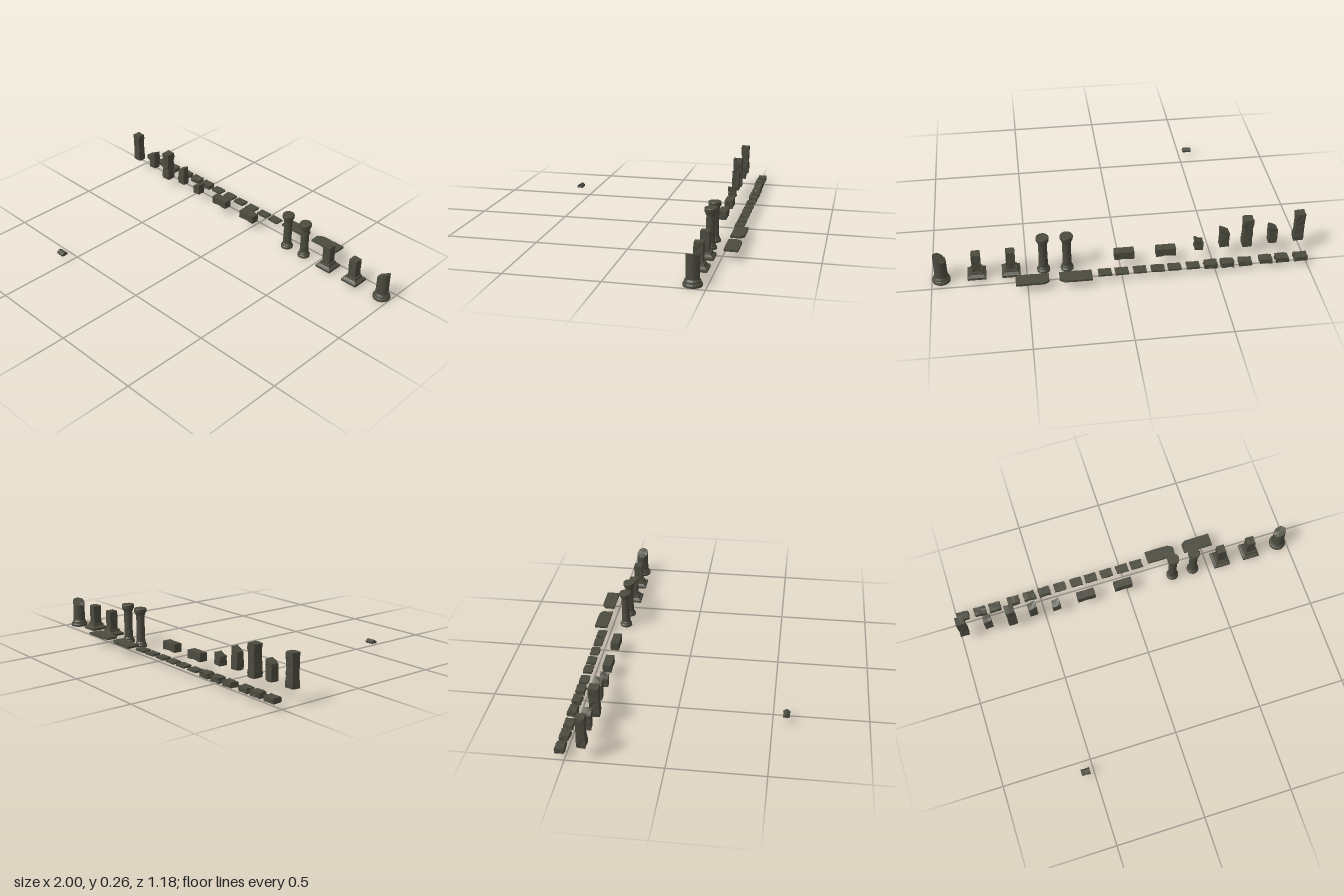
import * as THREE from 'three';

const stone = new THREE.MeshStandardMaterial({ color: 0x4c4b3f, flatShading: true });
stone.name = 'weathered stone';

// Small seeded generator for the chipped edges
function seeded(seed) {
  let s = seed * 7919 + 17;
  return () => ((s = (s * 16807) % 2147483647) / 2147483647);
}

function add(group, name, geometry, x = 0, y = 0, z = 0) {
  const mesh = new THREE.Mesh(geometry, stone);
  mesh.name = name;
  mesh.position.set(x, y, z);
  group.add(mesh);
  return mesh;
}

// Rough stone block given by its extents; outer vertices are worn inwards
function block(group, name, [x0, x1], [y0, y1], [z0, z1], seed, wear = 0.003, seg = [3, 2, 3], shape = null) {
  const w = x1 - x0, h = y1 - y0, d = z1 - z0;
  const g = new THREE.BoxGeometry(w, h, d, ...seg);
  const p = g.attributes.position, moved = new Map(), rnd = seeded(seed);
  const v = new THREE.Vector3();
  for (let i = 0; i < p.count; i++) {
    v.fromBufferAttribute(p, i);
    const key = [v.x, v.y, v.z].map((n) => Math.round(n * 1e4)).join();
    if (!moved.has(key)) {
      const u = v.x / w * 2, t = v.y / h * 2, s = v.z / d * 2;
      const m = v.clone();
      m.x -= Math.sign(u) * rnd() * wear;
      m.y -= Math.sign(t) * rnd() * Math.min(wear, h * 0.12);
      m.z -= Math.sign(s) * rnd() * wear;
      if (shape) shape(m, u, t, s);
      moved.set(key, m);
    }
    const m = moved.get(key);
    p.setXYZ(i, m.x, m.y, m.z);
  }
  g.computeVertexNormals();
  return add(group, name, g, (x0 + x1) / 2, (y0 + y1) / 2, (z0 + z1) / 2);
}

// Turned profile; four sides give a square plan with the radius as half width
function turned(points, sides) {
  const k = sides === 4 ? Math.SQRT2 : 1;
  const g = new THREE.LatheGeometry(points.map(([r, y]) => new THREE.Vector2(r * k, y)), sides);
  if (sides === 4) g.rotateY(Math.PI / 4);
  return g;
}

export function createModel() {
  const model = new THREE.Group();
  model.name = 'ruinStones';

  // Standing square pillars, some with sloping broken tops
  const pillars = [
    [-1.0, -0.945, 0.078, 0.258, -0.437, -0.387, 0],
    [-0.853, -0.804, 0.078, 0.19, -0.437, -0.39, 0.02],
    [-0.72, -0.665, 0.06, 0.238, -0.433, -0.376, 0],
    [-0.59, -0.538, 0.072, 0.195, -0.434, -0.388, 0.025],
    [-0.452, -0.403, 0.062, 0.133, -0.434, -0.386, 0.022],
  ];
  pillars.forEach(([x0, x1, y0, y1, z0, z1, slope], i) => {
    block(model, slope ? 'brokenPillar' : 'pillar', [x0, x1], [y0, y1], [z0, z1], i + 1, 0.004,
      [2, slope ? 4 : 7, 2], (m, u, t) => {
        if (slope && t > 0.9) m.y -= slope * (1 - u) / 2;
        if (!slope && Math.abs(t) < 0.5) { m.x *= 0.93; m.z *= 0.93; }
      });
  });

  // Two long blocks with a shallow notch underneath
  for (const [x0, x1, seed] of [[-0.3, -0.192, 11], [-0.075, 0.033, 12]]) {
    block(model, 'longBlock', [x0, x1], [0.052, 0.1], [-0.446, -0.398], seed, 0.0015, [5, 2, 2],
      (m, u, t) => { if (t < -0.9 && Math.abs(u) < 0.3) m.y += 0.004; });
  }

  // Thick rubble stones
  [-0.96, -0.859, -0.77, -0.656, -0.56, -0.47].forEach((x, i) => {
    const z = i < 3 ? -0.524 : -0.53;
    block(model, 'rubbleStone', [x - 0.037, x + 0.037], [0.031, 0.063], [z - 0.027, z + 0.027], 20 + i, 0.006);
  });

  // Thin paving stones
  [-0.375, -0.275, -0.187, -0.091, 0.005, 0.094].forEach((x, i) => {
    block(model, 'pavingStone', [x - 0.037, x + 0.037], [0.042, 0.055], [-0.558, -0.504], 30 + i, 0.004, [3, 1, 3]);
  });

  // Two large slabs with a clipped corner
  for (const [x0, x1, side] of [[0.162, 0.335, 1], [0.387, 0.563, -1]]) {
    block(model, 'largeSlab', [x0, x1], [0.047, 0.061], [-0.588, -0.512], 40 + side, 0.002, [6, 1, 4],
      (m, u, t, s) => { if (u * side > 0.9 && s < -0.9) { m.x -= side * 0.012; m.z += 0.008; } });
  }

  // Loose stone lying apart, with a worn top
  block(model, 'looseStone', [-0.57, -0.52], [0.035, 0.057], [0.55, 0.588], 50, 0.003, [2, 2, 3],
    (m, u, t, s) => { if (t > 0.9 && Math.abs(s) > 0.9) { m.y -= 0.007; m.z *= 0.9; } });

  // Whole round columns with base and capital
  const columnProfile = [
    [0, 0.008], [0.035, 0.008], [0.035, 0.02], [0.03, 0.025], [0.029, 0.032], [0.025, 0.038],
    [0.0235, 0.11], [0.024, 0.188], [0.028, 0.194], [0.028, 0.2], [0.034, 0.208],
    [0.035, 0.225], [0.033, 0.229], [0, 0.229],
  ];
  for (const x of [0.284, 0.41]) add(model, 'roundColumn', turned(columnProfile, 16), x, 0, -0.421);

  // Square pedestals with stepped bases and broken shafts
  const baseProfile = [
    [0, 0.016], [0.049, 0.016], [0.049, 0.029], [0.041, 0.034], [0.034, 0.04], [0.031, 0.052], [0, 0.052],
  ];
  [0.582, 0.763].forEach((x, i) => {
    const pedestal = new THREE.Group();
    pedestal.name = 'squarePedestal';
    add(pedestal, 'pedestalBase', turned(baseProfile, 4));
    block(pedestal, 'pedestalShaft', [-0.025, 0.025], [0.05, 0.16], [-0.025, 0.025], 60 + i, 0.0025, [3, 4, 3]);
    pedestal.position.set(x, 0, -0.425);
    model.add(pedestal);
  });

  // Thick broken column with a slanting fracture
  const broken = new THREE.Group();
  broken.name = 'brokenColumn';
  add(broken, 'columnBase', turned([
    [0, 0], [0.048, 0], [0.049, 0.01], [0.045, 0.018], [0.041, 0.02], [0.041, 0.027], [0.035, 0.036], [0, 0.036],
  ], 18));
  const shaft = new THREE.CylinderGeometry(0.034, 0.035, 0.12, 18, 4);
  shaft.translate(0, 0.095, 0);
  const p = shaft.attributes.position;
  for (let i = 0; i < p.count; i++) {
    if (p.getY(i) < 0.154) continue;
    const x = p.getX(i), z = p.getZ(i);
    p.setY(i, Math.min(0.165, 0.148 + 0.6 * x + 0.15 * z + 0.003 * Math.sin(x * 260 + z * 190)));
  }
  // Shaft rings follow the fracture so none rises above it
  for (let i = 0; i < p.count; i++) {
    const y = p.getY(i);
    if (Math.abs(y - 0.125) < 0.0005) p.setY(i, 0.105);
  }
  shaft.computeVertexNormals();
  add(broken, 'columnShaft', shaft);
  broken.position.set(0.95, 0, -0.43);
  model.add(broken);

  return model;
}
